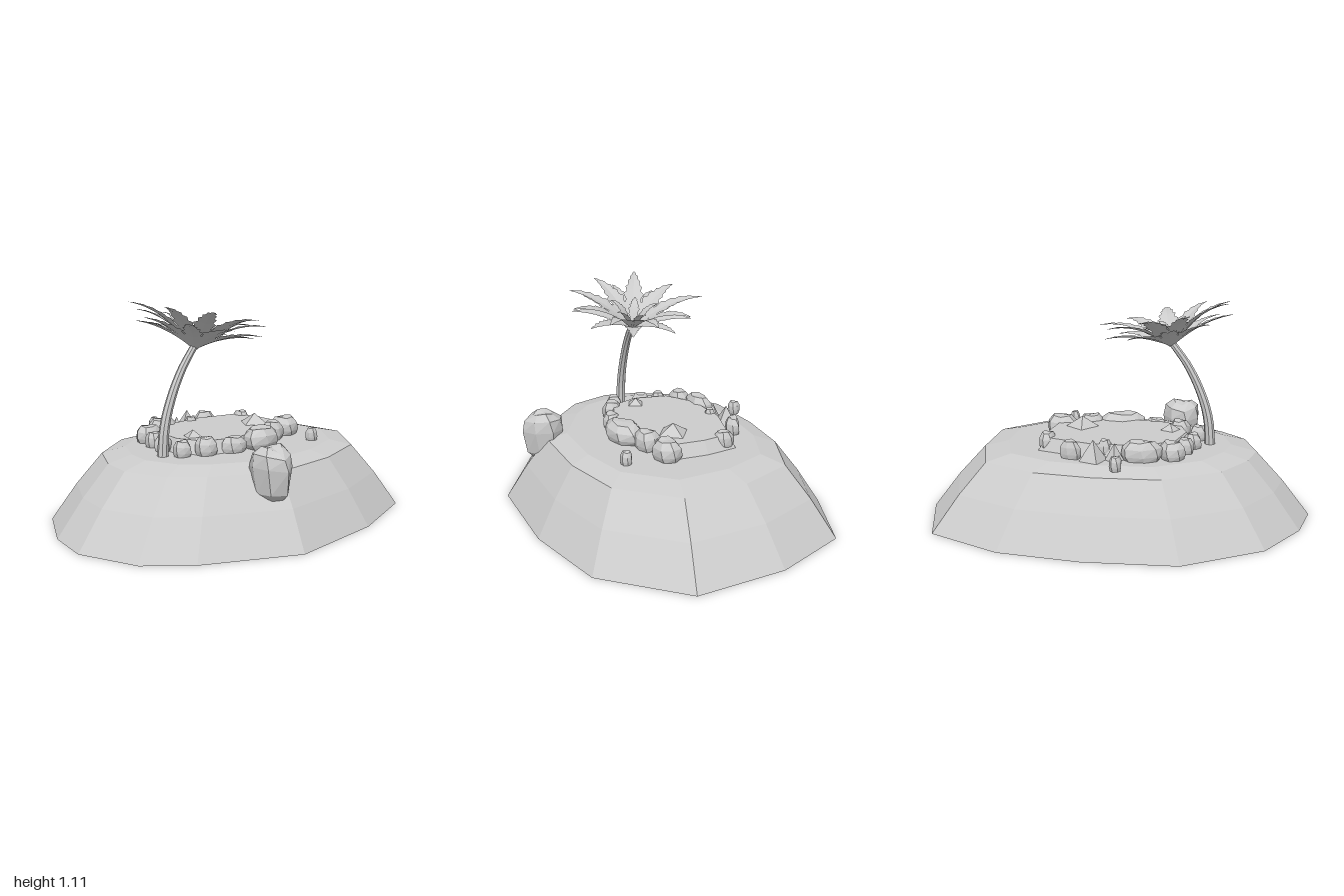
import * as THREE from 'three';

const stone = new THREE.MeshStandardMaterial({ color: 0xcccccc, flatShading: true, side: THREE.DoubleSide });
stone.name = 'pale grey';

// Closed solid lofted through rings of [x, y, z] points, bottom to top
function loft(rings) {
  const n = rings[0].length, pos = [], idx = [];
  rings.forEach(r => r.forEach(p => pos.push(...p)));
  for (let k = 0; k < rings.length - 1; k++) {
    for (let i = 0; i < n; i++) {
      const a = k * n + i, b = k * n + (i + 1) % n;
      idx.push(a, a + n, b, b, a + n, b + n);
    }
  }
  [0, rings.length - 1].forEach((k, top) => {
    const c = [0, 1, 2].map(j => rings[k].reduce((s, p) => s + p[j], 0) / n);
    const ci = pos.length / 3;
    pos.push(...c);
    for (let i = 0; i < n; i++) {
      const a = k * n + i, b = k * n + (i + 1) % n;
      if (top) idx.push(ci, b, a); else idx.push(ci, a, b);
    }
  });
  const g = new THREE.BufferGeometry();
  g.setAttribute('position', new THREE.Float32BufferAttribute(pos, 3));
  g.setIndex(idx);
  g.computeVertexNormals();
  return g;
}

// Outline scaled about a centre at height y
const ring = (pts, s, y, cx = 0, cz = 0) => pts.map(([x, z]) => [cx + (x - cx) * s, y, cz + (z - cz) * s]);

function add(parent, geometry, name) {
  const m = new THREE.Mesh(geometry, stone);
  m.name = name;
  parent.add(m);
  return m;
}

// Faceted boulder; profile holds [radius, height] fractions
const BOULDER = [[0.85, 0], [1, 0.3], [0.95, 0.68], [0.6, 1]];
function boulder(x, y, z, w, h, d, turn, profile = BOULDER, n = 7) {
  const c = Math.cos(turn), s = Math.sin(turn);
  return loft(profile.map(([r, t], k) => Array.from({ length: n }, (_, i) => {
    const a = i / n * Math.PI * 2 + k * 0.12;
    const q = r * (1 + 0.09 * Math.sin(i * 2.4 + x * 31));
    const px = Math.cos(a) * q * w / 2, pz = Math.sin(a) * q * d / 2;
    return [x + px * c - pz * s, y + h * (t + 0.05 * Math.sin(i * 1.9 + z * 17) * t), z + px * s + pz * c];
  })));
}

// Palm frond along +x: folded blade with toothed edges, rising then levelling
function frond(length, rise, width) {
  const rows = 15, pos = [], idx = [];
  for (let i = 0; i <= rows; i++) {
    const t = i / rows;
    const tooth = i % 2 ? 0.8 : 1.08;
    const w = width * tooth * Math.min(0.25 + t * 2.1, 1.55 * (1 - t) ** 0.85, 1) / 2;
    const y = rise * (1 - (1 - t) ** 2);
    const x = length * t;
    pos.push(x + w * 0.25, y + w * 0.3, -w, x, y, 0, x + w * 0.25, y + w * 0.3, w);
    if (i < rows) {
      const a = i * 3;
      idx.push(a, a + 1, a + 3, a + 1, a + 4, a + 3, a + 1, a + 2, a + 4, a + 2, a + 5, a + 4);
    }
  }
  const g = new THREE.BufferGeometry();
  g.setAttribute('position', new THREE.Float32BufferAttribute(pos, 3));
  g.setIndex(idx);
  g.computeVertexNormals();
  return g;
}

export function createModel() {
  const model = new THREE.Group();
  model.name = 'palmIsland';

  // Island mound
  const shore = [[-0.45, -0.72], [0, -0.78], [0.41, -0.77], [0.8, -0.63], [0.96, -0.25], [1, 0.21], [0.69, 0.59],
    [0.26, 0.73], [-0.26, 0.77], [-0.7, 0.54], [-0.89, 0.37], [-1, 0.07], [-0.96, -0.17], [-0.81, -0.46]];
  add(model, loft([ring(shore, 1, 0), ring(shore, 0.86, 0.18), ring(shore, 0.72, 0.33), ring(shore, 0.59, 0.36)]), 'island');

  // Raised pond
  const pond = [[0.06, -0.33], [0.32, -0.27], [0.345, -0.12], [0.34, 0.03], [0.24, 0.1], [0.1, 0.15],
    [-0.14, 0.19], [-0.3, 0.14], [-0.36, 0], [-0.33, -0.19], [-0.18, -0.3]];
  add(model, loft([ring(pond, 1.12, 0.35, -0.02, -0.07), ring(pond, 1, 0.425, -0.02, -0.07)]), 'pond');

  // Boulders round the pond: x, z, width, height, depth, turn
  const rocks = new THREE.Group();
  rocks.name = 'rocks';
  model.add(rocks);
  [
    [-0.33, -0.27, 0.14, 0.09, 0.12, 0.3], [-0.19, -0.33, 0.2, 0.1, 0.12, -0.15], [0, -0.31, 0.07, 0.09, 0.07, 0],
    [0.16, -0.37, 0.12, 0.09, 0.08, 0.3], [0.32, -0.24, 0.09, 0.09, 0.11, 0.2], [0.34, 0.08, 0.18, 0.1, 0.14, -0.2],
    [0.19, 0.13, 0.14, 0.1, 0.12, -0.5], [0.03, 0.2, 0.25, 0.1, 0.17, -0.25], [-0.16, 0.2, 0.13, 0.08, 0.1, 0.4],
    [-0.3, 0.15, 0.12, 0.09, 0.11, 0.8], [-0.41, 0.1, 0.09, 0.08, 0.09, 0], [-0.4, -0.06, 0.09, 0.08, 0.1, 0.5],
    [-0.38, -0.16, 0.08, 0.08, 0.09, 1], [0.33, 0.29, 0.065, 0.07, 0.06, 0], [-0.1, -0.51, 0.065, 0.07, 0.065, 0.4],
  ].forEach(([x, z, w, h, d, turn]) => add(rocks, boulder(x, 0.355, z, w, h, d, turn), 'boulder'));

  // Large boulder hanging over the front slope
  add(rocks, boulder(-0.25, 0.2, 0.55, 0.21, 0.255, 0.22, 0.5,
    [[0.45, 0], [0.85, 0.18], [1, 0.65], [0.9, 0.88], [0.5, 1]]), 'largeBoulder');

  // Pointed stones: x, base y, z, radius, height, turn
  [
    [0.2, 0.42, -0.01, 0.095, 0.06, 0.2], [0.04, 0.355, -0.39, 0.075, 0.11, 0.5],
    [-0.06, 0.355, -0.36, 0.05, 0.09, 0.2], [-0.27, 0.42, 0.02, 0.06, 0.04, 0.4],
  ].forEach(([x, y, z, r, h, turn]) => {
    const m = add(rocks, new THREE.ConeGeometry(r, h, 4), 'pointedStone');
    m.position.set(x, y + h / 2, z);
    m.rotation.y = turn;
  });

  // Palm trunk: bent tube narrowing towards the top
  const path = new THREE.CatmullRomCurve3([[-0.48, 0.34], [-0.465, 0.5], [-0.425, 0.63], [-0.355, 0.77], [-0.27, 0.885]]
    .map(([x, y]) => new THREE.Vector3(x, y, 0.035)));
  const segs = 14, sides = 8;
  const trunk = new THREE.TubeGeometry(path, segs, 0.028, sides);
  const v = new THREE.Vector3(), p = trunk.attributes.position;
  for (let i = 0; i < p.count; i++) {
    const t = Math.floor(i / (sides + 1)) / segs;
    const c = path.getPointAt(t);
    v.fromBufferAttribute(p, i).sub(c).multiplyScalar(1 - 0.35 * t).add(c);
    p.setXYZ(i, v.x, v.y, v.z);
  }
  trunk.computeVertexNormals();
  add(model, trunk, 'trunk');

  // Crown: tiers of fronds, tilted with the lean of the trunk
  const crown = new THREE.Group();
  crown.name = 'crown';
  crown.position.set(-0.27, 0.865, 0.035);
  crown.rotation.z = -0.2;
  model.add(crown);
  // count, length, rise, width, starting angle
  [[9, 0.355, 0.17, 0.105, 0], [9, 0.33, 0.105, 0.1, 0.35], [5, 0.13, 0.13, 0.06, 0.2]].forEach(([n, len, rise, w, start]) => {
    for (let i = 0; i < n; i++) {
      const k = 1 + 0.05 * Math.sin(i * 2.7 + n);
      const m = add(crown, frond(len * k, rise * k, w), 'frond');
      m.rotation.y = start + i / n * Math.PI * 2;
    }
  });
  return model;
}
